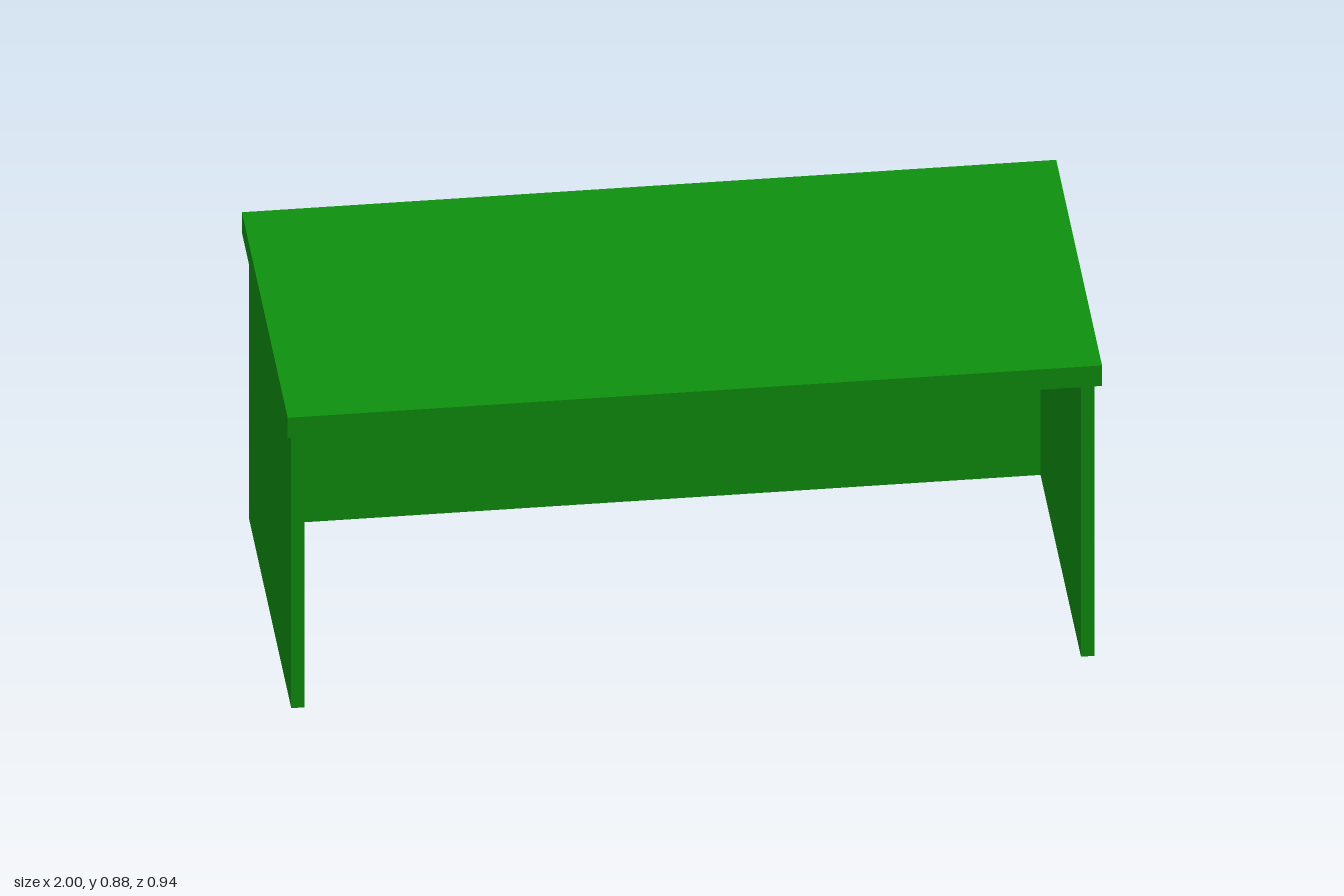
import * as THREE from 'three';

export function createModel() {
  const desk = new THREE.Group();
  desk.name = 'desk';
  const green = new THREE.MeshStandardMaterial({ color: 0x0f900f });
  green.name = 'green';

  // Box given by its min and max corners
  function panel(name, [x0, y0, z0], [x1, y1, z1]) {
    const mesh = new THREE.Mesh(new THREE.BoxGeometry(x1 - x0, y1 - y0, z1 - z0), green);
    mesh.position.set((x0 + x1) / 2, (y0 + y1) / 2, (z0 + z1) / 2);
    mesh.name = name;
    desk.add(mesh);
  }

  const underside = 0.826;
  const back = -0.462;
  const backInner = back + 0.028;

  // Overhanging top
  panel('desktop', [-1, underside, -0.47], [1, 0.885, 0.47]);
  // Side panels, set back from the front edge
  panel('rightSidePanel', [-0.983, 0, back], [-0.95, underside, 0.4]);
  panel('leftSidePanel', [0.957, 0, back], [0.99, underside, 0.397]);
  // Full-height panel closing the back
  panel('backPanel', [-0.95, 0, back], [0.957, underside, backInner]);

  return desk;
}
